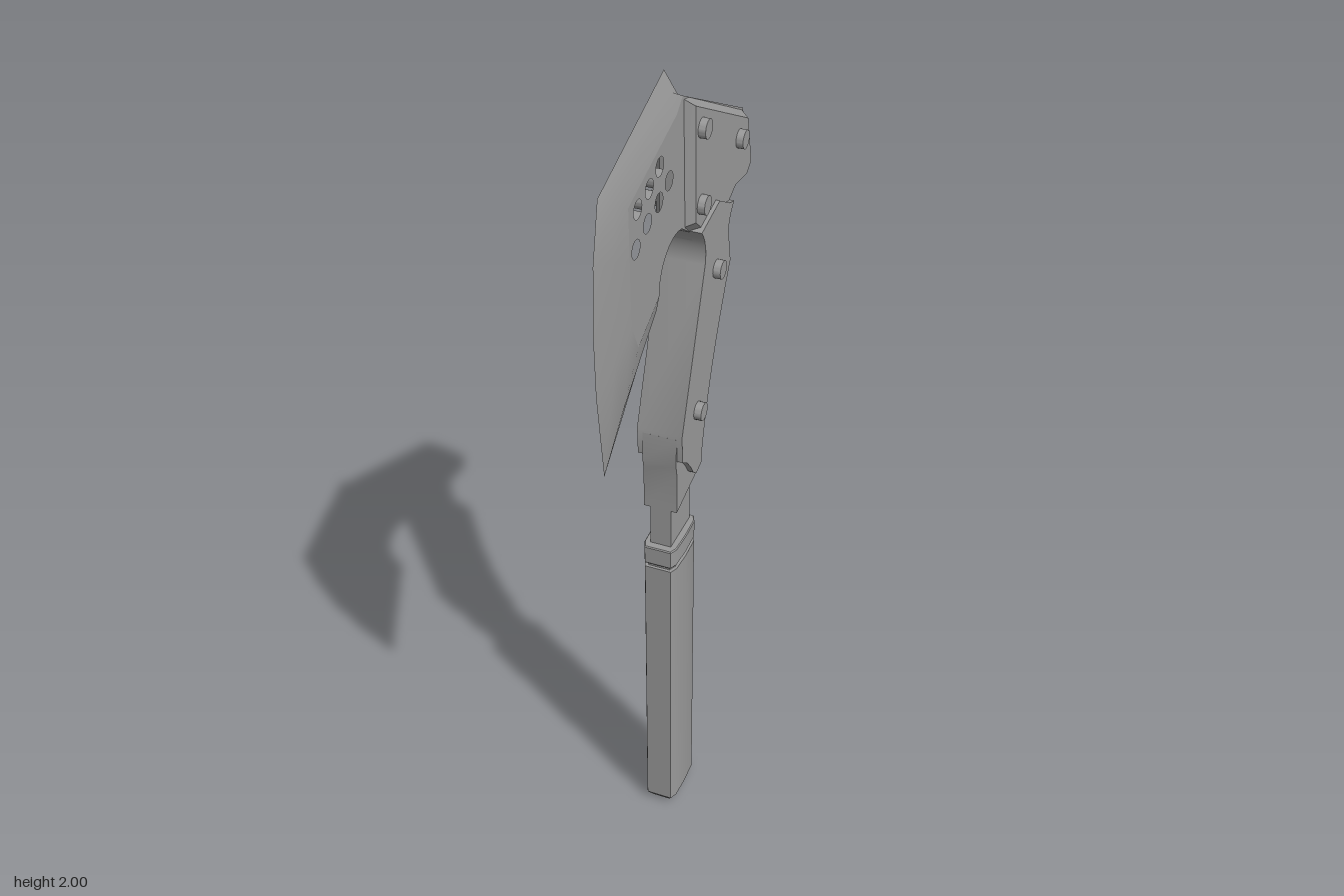
import * as THREE from 'three';
import { toCreasedNormals } from 'three/addons/utils/BufferGeometryUtils.js';

const material = new THREE.MeshStandardMaterial({ color: 0x999999 });

// Profiles are drawn as (z, y) pairs and extruded symmetrically along x.
const toShape = pts => new THREE.Shape(pts.map(p => new THREE.Vector2(p[0], p[1])));

const arc = (cz, cy, r, a0, a1, n) => Array.from({ length: n + 1 }, (_, i) => {
  const a = THREE.MathUtils.degToRad(a0 + (a1 - a0) * i / n);
  return [cz + r * Math.cos(a), cy + r * Math.sin(a)];
});

function slab(shape, half, bevel = 0) {
  const geo = new THREE.ExtrudeGeometry(shape, {
    depth: 2 * (half - bevel), curveSegments: 16, bevelEnabled: bevel > 0,
    bevelThickness: bevel, bevelSize: bevel * 0.75, bevelOffset: -bevel * 0.75, bevelSegments: 1
  });
  geo.translate(0, 0, -(half - bevel));
  return geo.rotateY(-Math.PI / 2);
}

// Smooth across gentle curves, crisp at real edges
function add(group, name, geo) {
  const mesh = new THREE.Mesh(toCreasedNormals(geo, 0.55), material);
  mesh.name = name;
  group.add(mesh);
}

// Sharp edge: strips from the centre-plane outline, over a middle ring, to the flat of each cheek
function edgeBevel(outer, inner, half) {
  const middle = outer.map(([z, y], i) => [(z + inner[i][0]) / 2, (y + inner[i][1]) / 2]);
  const rings = [[outer, 0], [middle, half * 0.62], [inner, half]];
  const pos = [];
  for (const s of [1, -1]) {
    for (let r = 0; r < 2; r++) {
      for (let i = 0; i < outer.length - 1; i++) {
        const at = (ring, k) => [s * rings[ring][1], rings[ring][0][k][1], rings[ring][0][k][0]];
        const a = at(r, i), b = at(r, i + 1), c = at(r + 1, i + 1), d = at(r + 1, i);
        const tris = s > 0 ? [a, b, d, b, c, d] : [a, d, b, b, d, c];
        tris.forEach(p => pos.push(...p));
      }
    }
  }
  const geo = new THREE.BufferGeometry();
  geo.setAttribute('position', new THREE.Float32BufferAttribute(pos, 3));
  return geo;
}

function makeBlade() {
  const blade = new THREE.Group();
  blade.name = 'blade';
  const outer = [[0, 1.936], [0.035, 2], [0.357, 1.885], [0.385, 1.76], [0.394, 1.62],
    [0.389, 1.47], [0.362, 1.26], [0.108, 1.476]];
  const inner = [[0, 1.936], [0.03, 1.91], [0.275, 1.83], [0.272, 1.72], [0.27, 1.62],
    [0.265, 1.56], [0.235, 1.5], [0.125, 1.555]];
  const shape = toShape([...inner, ...arc(0.03, 1.555, 0.095, 8, 120, 14)]);
  const holes = [[0.23, 1.805], [0.172, 1.82], [0.119, 1.841],
    [0.241, 1.725], [0.183, 1.751], [0.124, 1.767], [0.071, 1.788]];
  for (const [z, y] of holes) {
    shape.holes.push(new THREE.Path().absarc(z, y, 0.02, 0, Math.PI * 2, true));
  }
  add(blade, 'bladeCheeks', slab(shape, 0.025));
  add(blade, 'bladeEdge', edgeBevel(outer, inner, 0.025));
  return blade;
}

// Upright prism with softened corners and gently bowed sides
function gripPrism(y0, y1, hx, hz, bevel = 0) {
  const quarter = [[hx, 0], [hx - 0.002, hz - 0.018], [hx - 0.01, hz]];
  const right = [...quarter.slice(1).reverse().map(([x, z]) => [x, -z]), ...quarter];
  const left = [...right].reverse().map(([x, z]) => [-x, z]);
  const geo = new THREE.ExtrudeGeometry(toShape([...right, ...left]), {
    depth: y1 - y0 - 2 * bevel, bevelEnabled: bevel > 0, bevelThickness: bevel,
    bevelSize: bevel * 0.7, bevelOffset: -bevel * 0.7, bevelSegments: 1
  });
  return geo.rotateX(-Math.PI / 2).translate(0, y0 + bevel, 0.007);
}

export function createModel() {
  const axe = new THREE.Group();
  axe.name = 'axe';
  axe.add(makeBlade());

  // Head: central plate with thicker chamfered cheeks ending in a rear hammer
  add(axe, 'headCore', slab(toShape([[0, 1.936], [-0.358, 1.754], [-0.392, 1.62],
    [-0.345, 1.592], [-0.27, 1.606], [-0.2, 1.56], [-0.07, 1.56], [-0.05, 1.61], [0, 1.645]]), 0.0245));
  add(axe, 'headCheeks', slab(toShape([[-0.008, 1.925], [-0.035, 1.918], [-0.352, 1.752],
    [-0.384, 1.622], [-0.345, 1.595], [-0.27, 1.602], [-0.21, 1.575], [-0.145, 1.62],
    [-0.055, 1.605], [-0.015, 1.64]]), 0.044, 0.02));

  // Handle: bent scales with a scooped finger notch behind the head
  const backCurve = new THREE.QuadraticBezierCurve(new THREE.Vector2(-0.06, 1.06),
    new THREE.Vector2(-0.1, 1.25), new THREE.Vector2(-0.22, 1.46)).getPoints(10).map(p => [p.x, p.y]);
  const frontCurve = arc(0.03, 1.555, 0.095, 138, 194, 8);
  const notch = arc(-0.29, 1.528, 0.088, 10, 52, 5);
  add(axe, 'handleScales', slab(toShape([...frontCurve, [0.066, 1.17], [0.063, 1.1],
    [0.034, 1.08], [0.01, 1.05], [-0.004, 1.027], [-0.024, 1.01], [-0.056, 1.02],
    ...backCurve, ...notch, [-0.209, 1.605], [-0.145, 1.642]]), 0.053));

  // Stepped bolster and narrow tang between handle and grip
  add(axe, 'bolster', slab(toShape([[0.066, 1.16], [0.069, 1.09], [0.063, 1.06], [0.063, 0.955],
    [-0.055, 0.985], [-0.055, 1.08]]), 0.04));
  add(axe, 'tang', slab(toShape([[0.062, 1.1], [0.062, 0.78], [-0.055, 0.78], [-0.055, 1.1]]), 0.025));

  // Grip with a tapered butt, and the collar above it
  add(axe, 'collar', gripPrism(0.8, 0.85, 0.042, 0.074, 0.003));
  add(axe, 'collarNeck', gripPrism(0.78, 0.81, 0.036, 0.066));
  add(axe, 'grip', gripPrism(0.025, 0.79, 0.042, 0.073));
  add(axe, 'gripButt', gripPrism(0, 0.05, 0.042, 0.073, 0.022));

  // Rivets through the head and handle: z, y, reach from the centre plane
  const rivets = [[-0.056, 1.847, 0.06], [-0.283, 1.72, 0.06], [-0.056, 1.677, 0.06],
    [-0.13, 1.487, 0.07], [-0.024, 1.185, 0.07]];
  for (const [z, y, reach] of rivets) {
    add(axe, 'rivet', new THREE.CylinderGeometry(0.021, 0.021, 2 * reach, 20)
      .rotateZ(Math.PI / 2).translate(0, y, z));
  }
  return axe;
}
